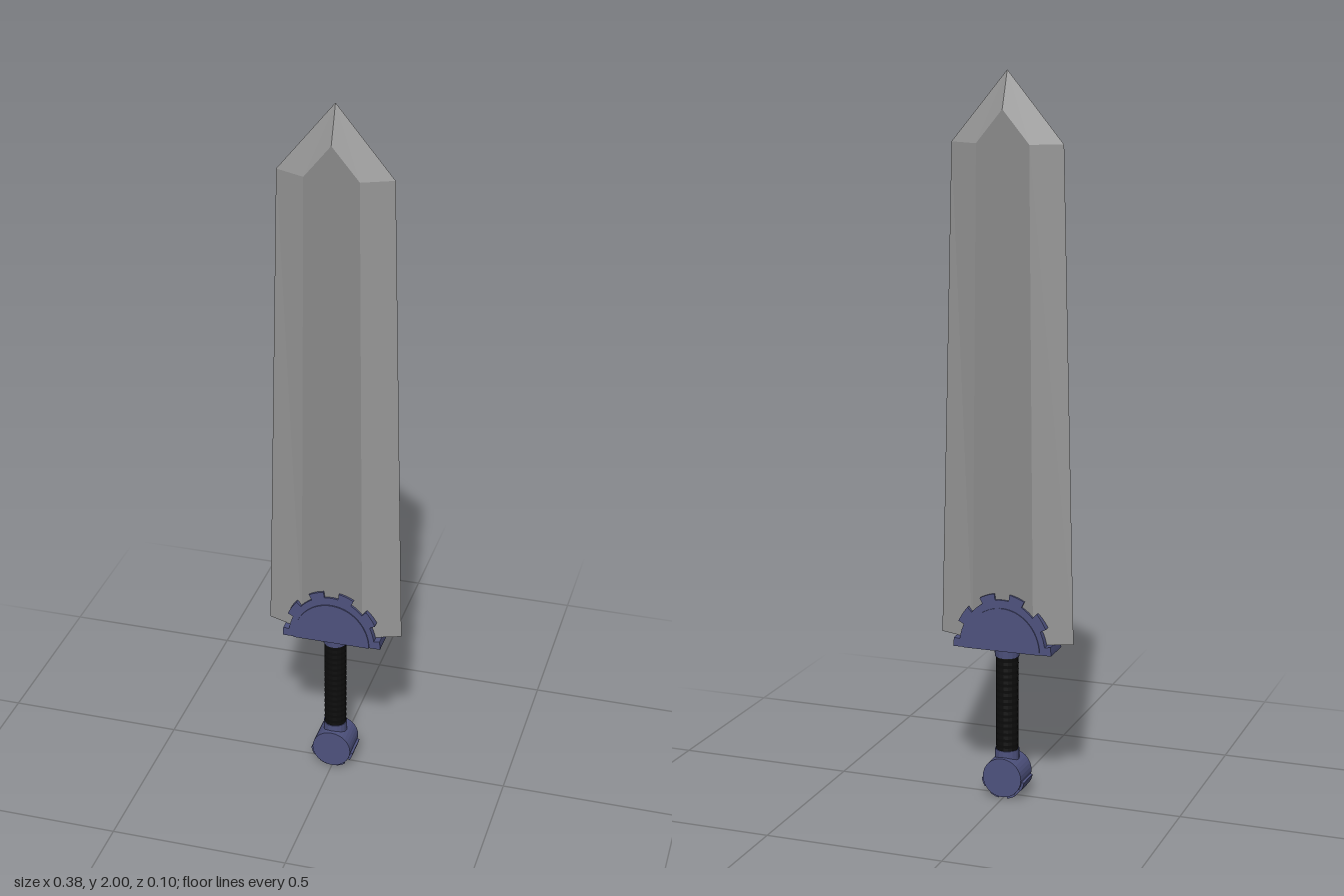
import * as THREE from 'three';

const paint = (color) => new THREE.MeshStandardMaterial({ color, flatShading: true });
const navy = paint(0x4e527e);
const black = paint(0x0c0c0c);
const edgeSteel = paint(0x979797);
const coreSteel = paint(0x8a8a8a);

function part(name, geometry, material, y = 0) {
  const mesh = new THREE.Mesh(geometry, material);
  mesh.name = name;
  mesh.position.y = y;
  return mesh;
}

// Slab centred on z = 0
function slab(shape, depth) {
  return new THREE.ExtrudeGeometry(shape, { depth, bevelEnabled: false, curveSegments: 24 })
    .translate(0, 0, -depth / 2);
}

// Arc with square teeth; angles in degrees, radii as [x, y] pairs
function toothedArc(from, to, teeth, halfTooth, inner, outer) {
  const points = [];
  const add = (deg, r) => {
    const a = THREE.MathUtils.degToRad(deg);
    points.push(new THREE.Vector2(Math.cos(a) * r[0], Math.sin(a) * r[1]));
  };
  const onTooth = (deg) => teeth.some((t) => Math.abs(deg - t) < halfTooth);
  const step = 3;
  for (let deg = from; deg < to; deg += step) {
    const r = onTooth(deg + step / 2) ? outer : inner;
    add(deg, r);
    add(deg + step, r);
  }
  return points.filter((p, i) => i === 0 || p.distanceTo(points[i - 1]) > 1e-5);
}

// Blade: eight-sided sections joined upwards, closing in a point
function createBlade() {
  const section = (w, r, y, ridgeY) => [
    [w, y, 0], [r, y, 0.037], [0, ridgeY, 0.039], [-r, y, 0.037],
    [-w, y, 0], [-r, y, -0.037], [0, ridgeY, -0.039], [r, y, -0.037],
  ];
  const lower = section(0.192, 0.088, 0.455, 0.455);
  const upper = section(0.157, 0.074, 1.81, 1.9);
  const base = [0, 0.455, 0], tip = [0, 2, 0];
  const bevels = [], flats = [];
  for (let i = 0; i < 8; i++) {
    const j = (i + 1) % 8;
    const [a, b, c, d] = [lower[i], lower[j], upper[j], upper[i]];
    // Sides next to a cutting edge are bevels, the others the flats
    const side = i % 4 === 0 || i % 4 === 3 ? bevels : flats;
    side.push(...a, ...d, ...c, ...a, ...c, ...b);
    bevels.push(...d, ...tip, ...c);
    flats.push(...base, ...a, ...b);
  }
  const blade = new THREE.Group();
  blade.name = 'blade';
  for (const [name, position, material] of [
    ['bladeBevels', bevels, edgeSteel], ['bladeFlats', flats, coreSteel]]) {
    const geometry = new THREE.BufferGeometry();
    geometry.setAttribute('position', new THREE.Float32BufferAttribute(position, 3));
    geometry.computeVertexNormals();
    blade.add(part(name, geometry, material));
  }
  return blade;
}

export function createModel() {
  const sword = new THREE.Group();
  sword.name = 'sword';
  sword.add(createBlade());

  // Half-gear guard with a slightly raised half disc on both faces
  const guard = new THREE.Group();
  guard.name = 'guard';
  const gear = new THREE.Shape(
    toothedArc(0, 180, [0, 36, 72, 108, 144, 180], 10, [0.125, 0.145], [0.142, 0.163]));
  guard.add(part('guardGear', slab(gear, 0.089), navy));
  const disc = new THREE.Shape();
  disc.absellipse(0, 0, 0.11, 0.122, 0, Math.PI, false);
  guard.add(part('guardDisc', slab(disc, 0.096), navy));
  guard.position.y = 0.43;
  sword.add(guard);

  sword.add(part('collar', new THREE.CylinderGeometry(0.036, 0.034, 0.027, 16), navy, 0.418));

  // Grip with shallow, evenly spaced wraps
  const wraps = 16, bottom = 0.125, height = 0.285;
  const profile = [];
  for (let i = 0; i <= wraps * 2; i++) {
    profile.push(new THREE.Vector2(i % 2 ? 0.0318 : 0.0308, bottom + (i / (wraps * 2)) * height));
  }
  sword.add(part('grip', new THREE.LatheGeometry(profile, 16), black));

  // Round pommel lying front to back, with low teeth set in from its faces
  const pommel = new THREE.Group();
  pommel.name = 'pommel';
  const drum = new THREE.CylinderGeometry(0.056, 0.056, 0.09, 32).rotateX(Math.PI / 2);
  pommel.add(part('pommelDrum', drum, navy));
  const teeth = new THREE.Shape(
    toothedArc(-180, 180, [-159, -114, -66, -21], 11, [0.054, 0.054], [0.063, 0.063]));
  pommel.add(part('pommelTeeth', slab(teeth, 0.074), navy));
  pommel.position.y = 0.0615;
  sword.add(pommel);
  sword.add(part('pommelNeck', new THREE.CylinderGeometry(0.034, 0.034, 0.04, 16), navy, 0.115));
  return sword;
}
